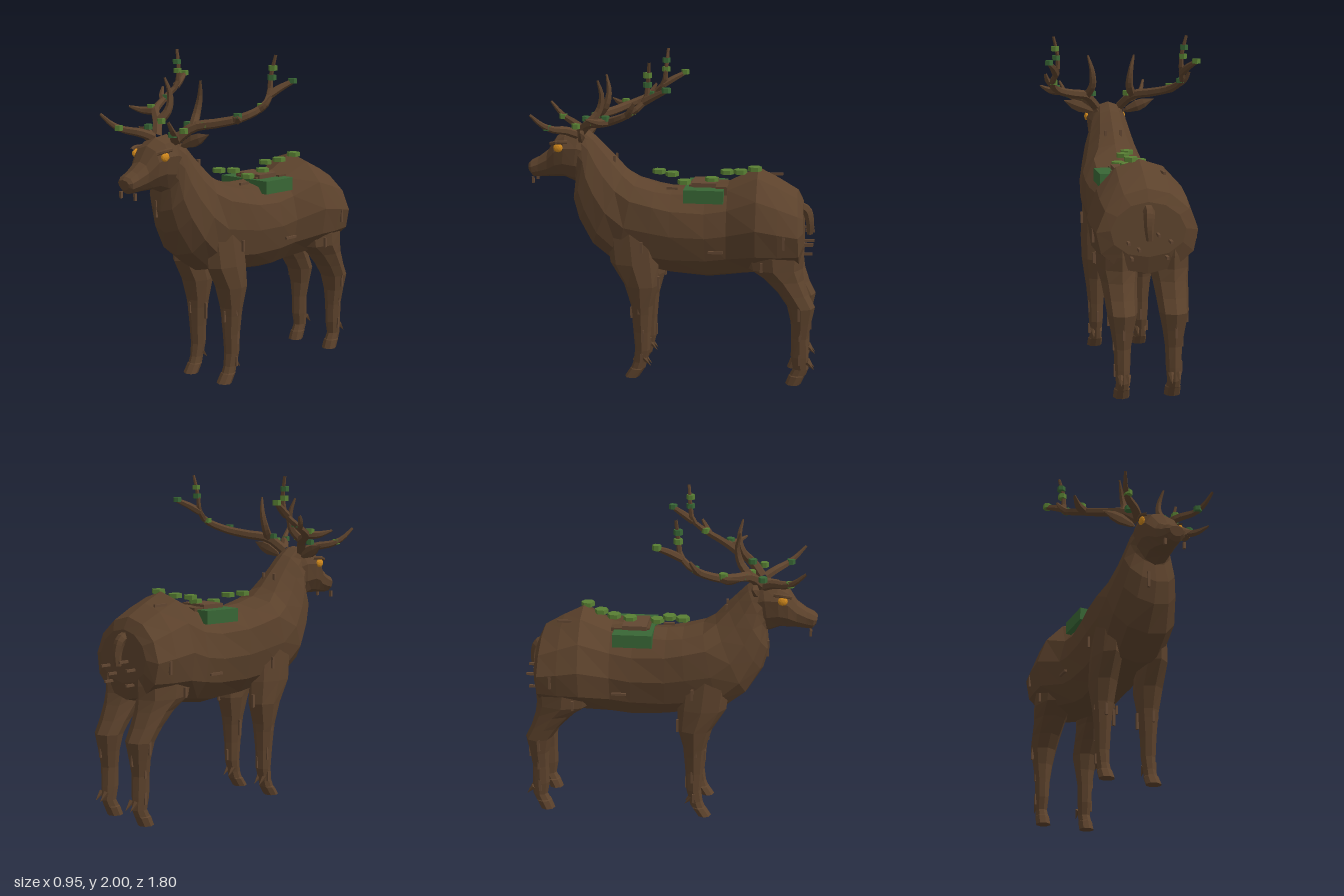
import * as THREE from 'three';

const mat = (name, color) => Object.assign(new THREE.MeshStandardMaterial({ color }), { name });
const V = (p) => new THREE.Vector3(...p);

// faceted normals baked into the geometry
function flat(geo) {
  const g = geo.index ? geo.toNonIndexed() : geo;
  g.computeVertexNormals();
  return g;
}

// skin over rings; each ring is [z1, y1, z2, y2, halfWidth, taper, power]: two opposite points and a width in x;
// taper > 0 narrows the first point's side, power < 1 makes the ring squarer
function loft(rings, sides, cx = 0) {
  const pos = [], idx = [], n = rings.length;
  const pow = (v, p) => Math.sign(v) * Math.abs(v) ** p;
  for (const [z1, y1, z2, y2, w, taper = 0, p = 1] of rings) {
    for (let j = 0; j < sides; j++) {
      const a = (j / sides) * Math.PI * 2, c = pow(Math.cos(a), p) / 2;
      pos.push(cx + pow(Math.sin(a), p) * w * (1 - taper * 2 * c),
        (y1 + y2) / 2 + (y1 - y2) * c, (z1 + z2) / 2 + (z1 - z2) * c);
    }
  }
  for (const [z1, y1, z2, y2] of [rings[0], rings[n - 1]]) pos.push(cx, (y1 + y2) / 2, (z1 + z2) / 2);
  const s = n * sides, e = s + 1;
  for (let j = 0; j < sides; j++) {
    const k = (j + 1) % sides;
    for (let i = 0; i < n - 1; i++) {
      const a = i * sides + j, b = i * sides + k, c = a + sides, d = b + sides;
      idx.push(a, c, b, b, c, d);
    }
    idx.push(s, j, k, e, (n - 1) * sides + k, (n - 1) * sides + j);
  }
  const g = new THREE.BufferGeometry();
  g.setAttribute('position', new THREE.Float32BufferAttribute(pos, 3));
  g.setIndex(idx);
  return flat(g);
}

// tube along points whose radius shrinks from r0 to r1
function taperedTube(points, r0, r1, steps = 10, sides = 6) {
  const curve = new THREE.CatmullRomCurve3(points.map(V));
  const g = new THREE.TubeGeometry(curve, steps, 1, sides);
  const p = g.attributes.position, v = new THREE.Vector3();
  for (let i = 0; i < p.count; i++) {
    const t = Math.floor(i / (sides + 1)) / steps, c = curve.getPointAt(t);
    v.fromBufferAttribute(p, i).sub(c).multiplyScalar(r0 + (r1 - r0) * t ** 1.6).add(c);
    p.setXYZ(i, v.x, v.y, v.z);
  }
  return flat(g);
}

export function createModel() {
  const model = new THREE.Group();
  model.name = 'stag';
  const bark = mat('bark brown', 0x5c422c), twigMat = mat('twig brown', 0x624732);
  const moss = mat('moss green', 0x386635), leaf = mat('leaf green', 0x587f33), amber = mat('amber', 0xd0881c);
  const add = (name, geo, material, at = [0, 0, 0], parent = model) => {
    const m = new THREE.Mesh(geo, material);
    m.name = name;
    m.position.set(...at);
    parent.add(m);
    return m;
  };

  // trunk and neck, rump to nape
  add('body', loft([
    [-0.795, 1.13, -0.81, 0.82, 0.215, 0.1],
    [-0.76, 1.2, -0.785, 0.72, 0.29, 0.1],
    [-0.64, 1.27, -0.66, 0.69, 0.305, 0.1],
    [-0.52, 1.33, -0.52, 0.67, 0.305, 0.12],
    [-0.34, 1.24, -0.34, 0.645, 0.222, 0.05],
    [-0.2, 1.215, -0.22, 0.63, 0.222],
    [0, 1.205, 0, 0.65, 0.226, -0.1, 0.85],
    [0.1, 1.215, 0.14, 0.68, 0.228, -0.12, 0.75],
    [0.22, 1.25, 0.34, 0.70, 0.226, -0.1, 0.75],
    [0.29, 1.305, 0.5, 0.82, 0.215, 0.08, 0.9],
    [0.36, 1.38, 0.59, 0.97, 0.185, 0.1],
    [0.42, 1.44, 0.625, 1.1, 0.16, 0.1],
    [0.48, 1.5, 0.61, 1.22, 0.13],
    [0.54, 1.545, 0.62, 1.25, 0.11]], 12), bark);

  // head, nape to nose
  add('head', loft([
    [0.5, 1.51, 0.56, 1.22, 0.1],
    [0.57, 1.55, 0.62, 1.215, 0.122],
    [0.66, 1.535, 0.68, 1.24, 0.126],
    [0.725, 1.495, 0.73, 1.24, 0.112],
    [0.78, 1.41, 0.78, 1.24, 0.08],
    [0.84, 1.365, 0.84, 1.235, 0.066],
    [0.89, 1.34, 0.875, 1.235, 0.062],
    [0.908, 1.32, 0.895, 1.26, 0.045]].map((r) => [...r, -0.16, 0.95]), 10), bark);

  // level rings for the legs: height, front z, back z, half width
  const legRings = (rows) => rows.map(([y, f, b, w]) => [f, y, b, y, w]);
  const foreLeg = legRings([
    [0.98, 0.4, 0.1, 0.07], [0.74, 0.375, 0.075, 0.088], [0.6, 0.29, 0.075, 0.088],
    [0.47, 0.25, 0.11, 0.07], [0.42, 0.245, 0.115, 0.062], [0.3, 0.235, 0.125, 0.05],
    [0.18, 0.225, 0.13, 0.045], [0.1, 0.235, 0.15, 0.038], [0.06, 0.25, 0.16, 0.04],
    [0.055, 0.255, 0.165, 0.046], [0, 0.29, 0.2, 0.048]]);
  const hindLeg = legRings([
    [0.98, -0.54, -0.8, 0.09], [0.82, -0.44, -0.81, 0.122],
    [0.74, -0.46, -0.805, 0.122], [0.67, -0.57, -0.815, 0.105], [0.58, -0.66, -0.845, 0.094],
    [0.5, -0.715, -0.885, 0.086], [0.4, -0.74, -0.865, 0.066], [0.3, -0.745, -0.85, 0.05],
    [0.18, -0.745, -0.855, 0.045], [0.1, -0.76, -0.855, 0.038], [0.06, -0.74, -0.84, 0.04],
    [0.055, -0.735, -0.835, 0.046], [0, -0.715, -0.81, 0.048]]);
  const clawGeo = flat(new THREE.ConeGeometry(0.018, 0.07, 5));
  const earGeo = flat(new THREE.LatheGeometry(
    [[0, 0], [0.022, 0.03], [0.04, 0.1], [0.034, 0.15], [0, 0.222]].map(([x, y]) => new THREE.Vector2(x, y)), 6)
    .scale(1, 1, 0.55));
  const eyeGeo = flat(new THREE.IcosahedronGeometry(0.03, 1).scale(0.5, 0.9, 1));
  const budGeo = flat(new THREE.CylinderGeometry(0.026, 0.026, 0.03, 6));

  // antler branches on the left side: points, base and tip radius, steps
  const branches = [
    ['antlerBeam', [[0.08, 1.52, 0.57], [0.15, 1.595, 0.5], [0.26, 1.62, 0.41], [0.36, 1.65, 0.32],
      [0.41, 1.71, 0.19], [0.39, 1.78, 0.115], [0.385, 1.87, 0.1], [0.413, 2, 0.088]], 0.031, 0.009, 18],
    ['browTine', [[0.09, 1.52, 0.58], [0.14, 1.55, 0.64], [0.22, 1.57, 0.71], [0.255, 1.6, 0.76], [0.285, 1.665, 0.825]], 0.028, 0.008, 10],
    ['innerTine', [[0.15, 1.595, 0.5], [0.12, 1.67, 0.44], [0.125, 1.76, 0.42], [0.15, 1.86, 0.44]], 0.028, 0.006, 10],
    ['outerTine', [[0.34, 1.645, 0.34], [0.4, 1.645, 0.39], [0.455, 1.67, 0.455]], 0.028, 0.006, 8],
    ['sideTine', [[0.4, 1.69, 0.22], [0.435, 1.72, 0.2], [0.455, 1.77, 0.17]], 0.022, 0.008, 6],
    ['backTine', [[0.395, 1.77, 0.12], [0.42, 1.81, 0.05], [0.46, 1.85, -0.03]], 0.024, 0.013, 8]];
  const buds = [[0.452, 1.847, -0.015], [0.402, 1.925, 0.1], [0.395, 1.87, 0.1], [0.4, 1.712, 0.195],
    [0.365, 1.665, 0.355], [0.2, 1.61, 0.46], [0.112, 1.61, 0.505], [0.15, 1.58, 0.575], [0.228, 1.58, 0.735]];

  for (const s of [1, -1]) {
    const side = s > 0 ? 'left' : 'right';
    const mirror = (pts) => pts.map(([x, y, z]) => [s * x, y, z]);
    add(side + 'FrontLeg', loft(foreLeg, 8, s * 0.146), bark);
    add(side + 'HindLeg', loft(hindLeg, 8, s * 0.148), bark);
    for (const [z, y] of [[0.145, 0.105], [-0.868, 0.125]]) {
      for (const dx of [-0.022, 0.022]) {
        add(side + 'DewClaw', clawGeo, bark, [s * 0.145 + dx, y, z]).rotation.x = -2.4;
      }
    }
    const ear = add(side + 'Ear', earGeo, bark, [s * 0.095, 1.485, 0.55]);
    ear.quaternion.setFromUnitVectors(V([0, 1, 0]), V([s * 0.2, 0.08, -0.03]).normalize());
    add(side + 'Eye', eyeGeo, amber, [s * 0.123, 1.44, 0.695]);
    add(side + 'Brow', taperedTube(mirror([[0.108, 1.462, 0.745], [0.128, 1.474, 0.7], [0.116, 1.476, 0.64]]), 0.012, 0.012, 5), bark);

    const antler = new THREE.Group();
    antler.name = side + 'Antler';
    model.add(antler);
    for (const [name, pts, r0, r1, steps] of branches) {
      add(name, taperedTube(mirror(pts), r0, r1, steps), bark, undefined, antler);
    }
    mirror(buds).forEach((p, i) => add('antlerBud', budGeo, (i + (s > 0)) % 2 ? moss : leaf, p, antler));
  }

  // tail
  add('tail', taperedTube([[0, 1.09, -0.77], [0, 1.07, -0.815], [0.005, 1.0, -0.838], [0, 0.92, -0.84]], 0.034, 0.02), bark);

  // mossy saddle with bark blocks and leaf pads along the spine
  add('mossSaddle', new THREE.BoxGeometry(0.385, 0.08, 0.24), moss, [0.003, 1.174, -0.2]);
  add('backBlock', new THREE.BoxGeometry(0.2, 0.06, 0.15), twigMat, [0, 1.21, -0.195]);
  add('backBlockStep', new THREE.BoxGeometry(0.17, 0.05, 0.1), bark, [0, 1.2, -0.155]);
  add('backRidge', new THREE.BoxGeometry(0.22, 0.08, 0.07), bark, [0.015, 1.185, -0.305]);
  const padGeo = flat(new THREE.CylinderGeometry(0.042, 0.042, 0.026, 6));
  for (const [x, y, z] of [[0.045, 1.327, -0.5], [0, 1.298, -0.41], [-0.04, 1.286, -0.325], [0.02, 1.25, -0.235],
    [0.045, 1.235, -0.07], [0, 1.274, 0.01], [-0.04, 1.28, 0.095]]) {
    add('leafPad', padGeo, leaf, [x, y, z]);
  }

  // twigs stuck to the hide: position, long axis, length
  const addTwig = (x, y, z, axis, len) => {
    const size = [0.015, 0.015, 0.015];
    size[axis] = len;
    add('twig', new THREE.BoxGeometry(...size), twigMat, [x, y, z]);
  };
  const pairedTwigs = [
    [0.2, 0.47, 0.19, 1, 0.09], [0.187, 0.28, 0.17, 1, 0.08], [0.187, 0.13, 0.18, 1, 0.06], [0.075, 0.4, 0.18, 1, 0.1],
    [0.15, 0.42, 0.245, 1, 0.07], [0.14, 0.22, 0.13, 1, 0.07], [0.16, 0.62, 0.075, 1, 0.08], [0.235, 0.86, 0.17, 1, 0.07],
    [0.225, 0.47, -0.79, 1, 0.08], [0.195, 0.33, -0.8, 1, 0.08], [0.19, 0.17, -0.8, 1, 0.07], [0.15, 0.4, -0.86, 1, 0.08],
    [0.295, 0.93, -0.69, 1, 0.08], [0.27, 0.77, -0.56, 1, 0.06], [0.22, 0.84, -0.28, 2, 0.09],
    [0.1, 0.82, -0.83, 2, 0.06], [0.12, 0.91, -0.84, 2, 0.06], [0.06, 1.225, 0.87, 1, 0.04], [0.05, 1.365, 0.36, 1, 0.04]];
  for (const [x, ...rest] of pairedTwigs) for (const s of [1, -1]) addTwig(s * x, ...rest);
  const singleTwigs = [[-0.045, 1.11, 0.615, 1, 0.1], [0.08, 1.2, 0, 2, 0.07], [-0.12, 1.265, -0.62, 2, 0.09],
    [0.06, 0.87, -0.835, 2, 0.06], [-0.05, 0.95, -0.835, 2, 0.06]];
  for (const t of singleTwigs) addTwig(...t);
  return model;
}
